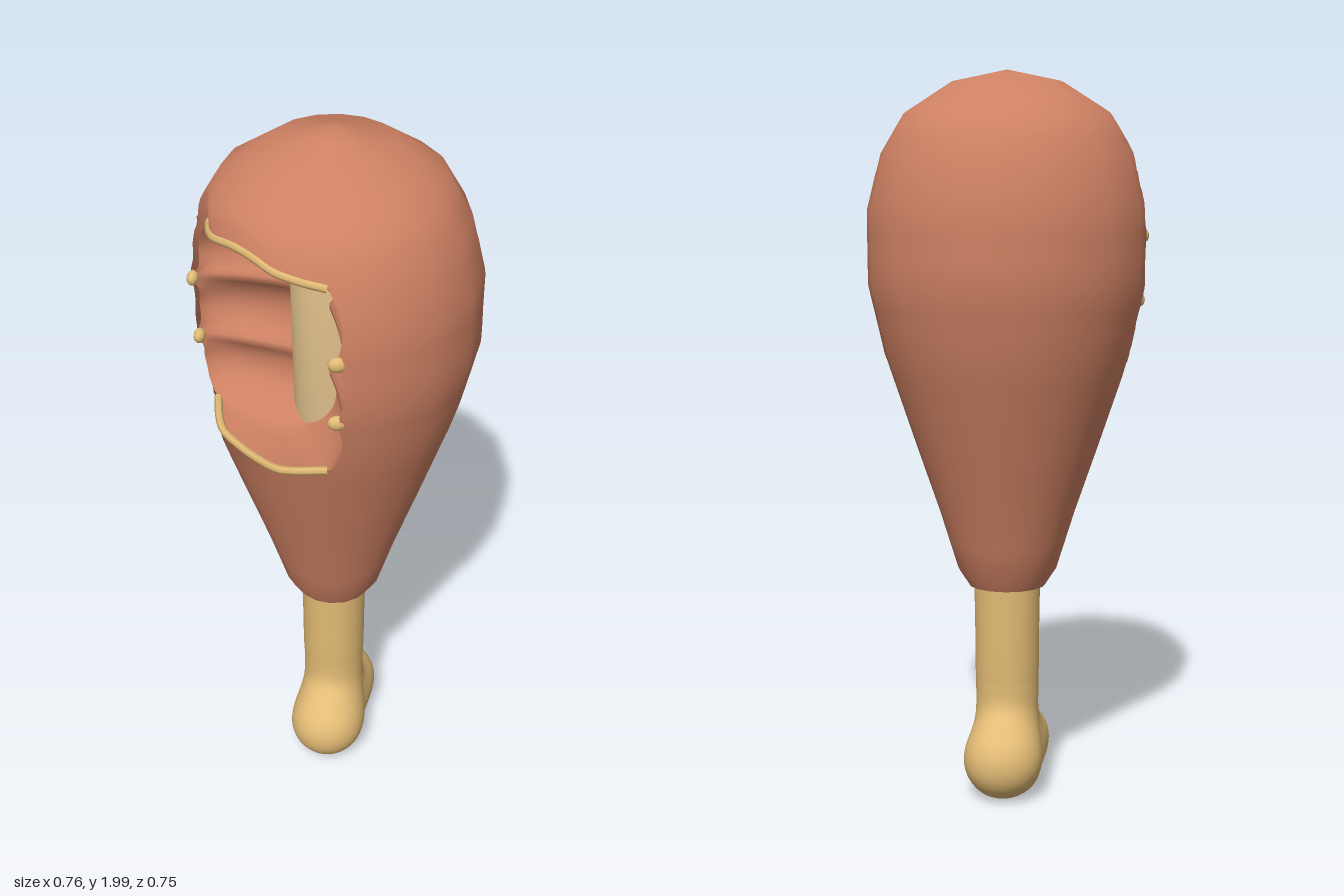
import * as THREE from 'three';
import { mergeVertices } from 'three/addons/utils/BufferGeometryUtils.js';

const RAD = Math.PI / 180;
const SIDES = 16, STEP = Math.PI * 2 / SIDES, OFFSET = -6 * RAD;
const BITE_DIR = 127 * RAD, BITE_LOW = 1.22, BITE_HIGH = 1.73, BITE_END = 46 * RAD;
const BITE_MID = (BITE_LOW + BITE_HIGH) / 2, BITE_HALF = (BITE_HIGH - BITE_LOW) / 2;

// Meat outline as [radius, height], bottom to top
const PROFILE = [
  [0.085, 0.6], [0.108, 0.594], [0.138, 0.64], [0.188, 0.8], [0.257, 1.0], [0.338, 1.24],
  [0.382, 1.43], [0.382, 1.63], [0.343, 1.78], [0.28, 1.885], [0.155, 1.965], [0, 2],
];

function radiusAt(y) {
  for (let i = 2; i < PROFILE.length; i++) {
    const [r0, y0] = PROFILE[i - 1], [r1, y1] = PROFILE[i];
    if (y <= y1) return r0 + (r1 - r0) * Math.max(0, (y - y0) / (y1 - y0));
  }
  return 0;
}

// Three tooth scoops: 0 at the ridges, 1 in the middle of each
const scoop = (y) => Math.abs(Math.sin(Math.PI * 3 * (y - BITE_LOW) / (BITE_HIGH - BITE_LOW)));
// 0 at the top and bottom edges of the bite, 1 in its middle
const openness = (y) => Math.max(0, 1 - ((y - BITE_MID) / BITE_HALF) ** 2);
const halfAngle = (y) => BITE_END + (4 * Math.sqrt(openness(y)) + 3 * scoop(y)) * RAD;

// Angle away from the middle of the bite
const fromBite = (a) => Math.abs(Math.atan2(Math.sin(a - BITE_DIR), Math.cos(a - BITE_DIR)));

// Arches the top and bottom edges of the bite
function warpY(a, y) {
  const d = fromBite(a);
  if (d > 60 * RAD) return y;
  const u = (y - BITE_MID) / BITE_HALF;
  const k = Math.abs(u) < 1 ? u : Math.sign(u) * Math.max(0, 2 - Math.abs(u));
  return y + 0.04 * k * Math.cos(d * 1.5) ** 2;
}

// Largest radius near the bite: flattened across it, raised at the tooth ridges
function biteCap(d, y) {
  if (d > 60 * RAD) return 1;
  return Math.min(0.288 / Math.cos(d), 0.308)
    + 0.085 * THREE.MathUtils.smoothstep(d, 44 * RAD, 60 * RAD)
    + 0.05 * openness(y) * (1 - scoop(y)) ** 2;
}

// Point on the many-sided meat surface
function skin(a, y0) {
  const y = warpY(a, y0);
  const f = (((a - OFFSET) % STEP) + STEP) % STEP;
  const round = radiusAt(y) * Math.cos(STEP / 2) / Math.cos(f - STEP / 2);
  const r = Math.min(biteCap(fromBite(a), y0), round);
  return new THREE.Vector3(r * Math.cos(a), y, r * Math.sin(a));
}

// Smooth normal of the meat surface
function skinNormal(a, y0) {
  const y = warpY(a, y0);
  if (y > 1.999) return new THREE.Vector3(0, 1, 0);
  const lo = Math.max(0.594, y - 0.07), hi = Math.min(2, y + 0.07);
  const slope = (radiusAt(hi) - radiusAt(lo)) / (hi - lo);
  return new THREE.Vector3(Math.cos(a), -slope, Math.sin(a)).normalize();
}

// Grid surface: at(i, j) gives a point, normalAt is optional
function grid(cols, rows, at, normalAt) {
  const pos = [], nor = [], idx = [];
  for (let j = 0; j <= rows; j++) {
    for (let i = 0; i <= cols; i++) {
      pos.push(...at(i, j).toArray());
      if (normalAt) nor.push(...normalAt(i, j).toArray());
      if (i < cols && j < rows) {
        const a = j * (cols + 1) + i, b = a + cols + 1;
        idx.push(a, b, a + 1, a + 1, b, b + 1);
      }
    }
  }
  const g = new THREE.BufferGeometry();
  g.setAttribute('position', new THREE.Float32BufferAttribute(pos, 3));
  g.setIndex(idx);
  if (normalAt) g.setAttribute('normal', new THREE.Float32BufferAttribute(nor, 3));
  else g.computeVertexNormals();
  return g;
}

// Point in the bite hollow, t from 0 to 1 across it: two walls meeting behind the bone
function hollow(t, y) {
  const h = halfAngle(y), outer = skin(BITE_DIR + h * (2 * t - 1), y);
  const p0 = skin(BITE_DIR - h, y), p1 = skin(BITE_DIR + h, y);
  const c = Math.cos(Math.PI * t), bulge = 0.3 + 0.3 * scoop(y);
  const depth = 0.2 * THREE.MathUtils.lerp(1 - Math.abs(c), Math.sin(Math.PI * t), bulge);
  const deep = p0.clone().add(p1).multiplyScalar(0.5).addScaledVector(p0.clone().sub(p1), 0.5 * c);
  deep.x -= Math.cos(BITE_DIR) * depth;
  deep.z -= Math.sin(BITE_DIR) * depth;
  deep.y = outer.y;
  return outer.lerp(deep, Math.pow(openness(y), 0.18));
}

// Foot of the bone: two knuckles blended smoothly into the shaft
function footGeometry() {
  const blend = (a, b, k) => {
    const h = Math.max(0, k - Math.abs(a - b)) / k;
    return Math.min(a, b) - h * h * k / 4;
  };
  const field = (p) => {
    const ball = Math.hypot(p.x, p.y - 0.115, Math.abs(p.z) - 0.096) - 0.108;
    const shaft = Math.max(Math.hypot(p.x, p.z) - 0.088, 0.07 - p.y, p.y - 0.42);
    return blend(ball, shaft, 0.07);
  };
  let g = new THREE.IcosahedronGeometry(1, 20);
  g.deleteAttribute('normal');
  g.deleteAttribute('uv');
  g = mergeVertices(g);
  const pos = g.attributes.position, dir = new THREE.Vector3(), p = new THREE.Vector3();
  for (let i = 0; i < pos.count; i++) {
    dir.fromBufferAttribute(pos, i).normalize();
    let r = 0;
    for (let n = 0; n < 60; n++) {
      p.set(0, 0.15, 0).addScaledVector(dir, r);
      r -= 0.6 * field(p);
    }
    pos.setXYZ(i, p.x, p.y, p.z);
  }
  g.computeVertexNormals();
  return g;
}

export function createModel() {
  const group = new THREE.Group();
  const material = (name, color) => {
    const m = new THREE.MeshStandardMaterial({ color, side: THREE.DoubleSide });
    m.name = name;
    return m;
  };
  const meat = material('roasted meat', 0xce8163);
  const bone = material('bone', 0xe2bb75);
  const innerBone = material('pale inner bone', 0xdbbc88);
  const add = (name, geometry, mat) => {
    const mesh = new THREE.Mesh(geometry, mat);
    mesh.name = name;
    group.add(mesh);
    return mesh;
  };

  // Column angles: across the bite, then around the uneaten side
  const FRONT = 32, BACK = 96;
  const frontAngle = (i, h) => BITE_DIR + h * (2 * i / FRONT - 1);
  const backAngle = (i, h) => BITE_DIR + h + (Math.PI * 2 - 2 * h) * i / BACK;
  const ringAngle = (i) => (i < FRONT ? frontAngle(i, BITE_END) : backAngle(i - FRONT, BITE_END));

  // Full rings of meat below and above the bite
  const ring = (name, heights) => add(name, grid(FRONT + BACK, heights.length - 1,
    (i, j) => skin(ringAngle(i), heights[j]), (i, j) => skinNormal(ringAngle(i), heights[j])), meat);
  ring('lowerMeat', [0.594, 0.61, 0.64, 0.72, 0.8, 0.9, 1.0, 1.05, 1.1, 1.14, 1.18, BITE_LOW]);
  ring('upperMeat', [BITE_HIGH, 1.76, 1.78, 1.805, 1.83, 1.855, 1.885, 1.925, 1.965, 1.985, 2]);
  const hem = [[0.08, 0.608], [0.098, 0.598], [0.107, 0.595]].map((p) => new THREE.Vector2(...p));
  add('meatHem', new THREE.LatheGeometry(hem, 32), meat);

  // Meat around the bite, and the hollow itself
  const rows = 60;
  const rowY = (j) => BITE_MID - BITE_HALF * Math.cos(Math.PI * j / rows);
  const sideAngle = (i, j) => backAngle(i, halfAngle(rowY(j)));
  add('middleMeat', grid(BACK, rows, (i, j) => skin(sideAngle(i, j), rowY(j)),
    (i, j) => skinNormal(sideAngle(i, j), rowY(j))), meat);
  add('biteHollow', grid(FRONT, rows, (i, j) => hollow(i / FRONT, rowY(j))), meat);

  // Torn lip along the top and bottom of the bite
  for (const [name, y] of [['lowerLip', BITE_LOW], ['upperLip', BITE_HIGH]]) {
    const pts = [];
    for (let i = 0; i <= FRONT; i += 2) pts.push(skin(frontAngle(i, BITE_END), y));
    add(name, new THREE.TubeGeometry(new THREE.CatmullRomCurve3(pts), 32, 0.011, 6), bone);
  }

  // Torn tips where the tooth ridges meet the skin
  for (const k of [1, 2]) {
    for (const side of [-1, 1]) {
      const y = BITE_LOW + k * (BITE_HIGH - BITE_LOW) / 3, a = BITE_DIR + side * 50 * RAD;
      const tip = add('tornTip', new THREE.SphereGeometry(0.02, 10, 8), bone);
      tip.position.copy(skin(a, y)).multiply(new THREE.Vector3(0.97, 1, 0.97));
      tip.rotation.y = -a;
      tip.scale.set(0.8, 1, 1.2);
    }
  }

  // Bone foot and shaft, with the part inside the meat slightly wider
  const lathe = (pts) => new THREE.LatheGeometry(pts.map((p) => new THREE.Vector2(...p)), 32);
  add('boneFoot', footGeometry(), bone);
  add('boneShaft', lathe([[0.087, 0.3], [0.09, 0.36], [0.09, 0.45], [0.093, 0.64]]), bone);
  add('innerBone', lathe([[0.093, 0.64], [0.105, 1.2], [0.115, 1.8], [0, 1.8]]), innerBone);
  return group;
}
